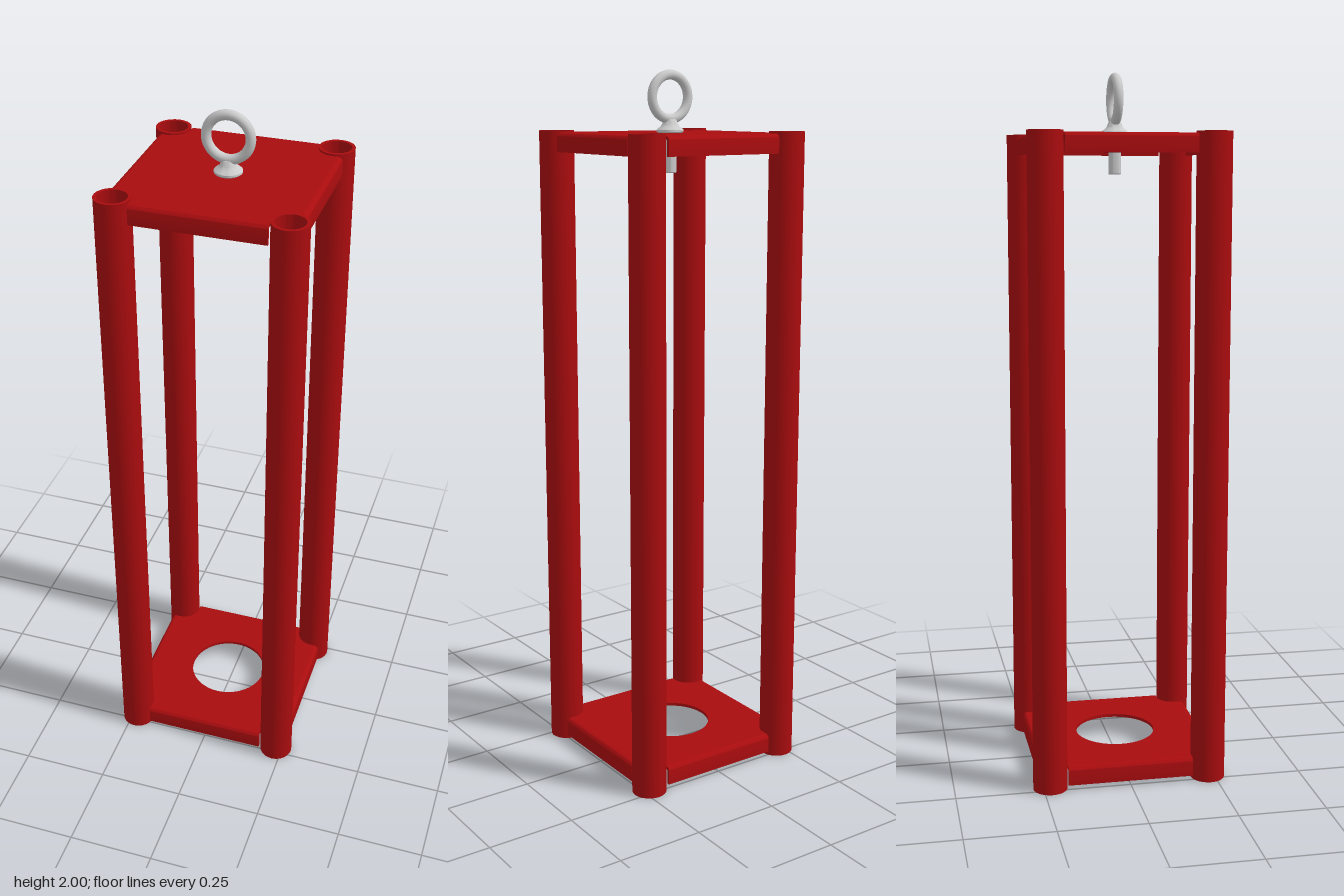
import * as THREE from 'three';
import { toCreasedNormals } from 'three/addons/utils/BufferGeometryUtils.js';

const RED = new THREE.MeshStandardMaterial({ color: 0xa90c0e });
const STEEL = new THREE.MeshStandardMaterial({ color: 0xcccccc });

const POST = 0.23;     // post centre offset
const POST_R = 0.049;  // post outer radius
const EDGE = 0.258;    // outer face of the plate flanges
const SPAN = 0.181;    // half length of a flange
const T = 0.009;       // sheet thickness
const BEND = 0.014;    // outer bend radius
const DROP = 0.053;    // tray height

function mesh(name, geometry, material) {
  const m = new THREE.Mesh(geometry, material);
  m.name = name;
  return m;
}

function lathe(points, segments) {
  const g = new THREE.LatheGeometry(points.map(([r, y]) => new THREE.Vector2(r, y)), segments);
  return toCreasedNormals(g, 0.5);
}

// Flat sheet with the corners scalloped around the posts; top face at y = 0
function sheetGeometry(holeRadius) {
  const e = EDGE - BEND;
  const s = new THREE.Shape();
  s.moveTo(e, -SPAN);
  const r = POST - SPAN;
  for (let k = 0; k < 4; k++) {
    const a = k * Math.PI / 2, c = Math.cos(a), n = Math.sin(a);
    const to = (x, y) => s.lineTo(x * c - y * n, x * n + y * c);
    to(e, -SPAN);
    to(e, SPAN);
    for (let i = 0; i <= 8; i++) {
      const t = -Math.PI / 2 - (i / 8) * Math.PI / 2;
      to(POST + r * Math.cos(t), POST + r * Math.sin(t));
    }
    to(SPAN, e);
  }
  if (holeRadius) {
    s.holes.push(new THREE.Path().absarc(0, 0, holeRadius, 0, Math.PI * 2, true));
  }
  const g = new THREE.ExtrudeGeometry(s, { depth: T, bevelEnabled: false, curveSegments: 24 });
  g.rotateX(-Math.PI / 2).translate(0, -T, 0);
  return toCreasedNormals(g, 0.5);
}

// Folded edge: rounded bend running into a downward lip
function flangeGeometry() {
  const cx = EDGE - BEND;
  const s = new THREE.Shape();
  s.moveTo(cx, -T);
  s.absarc(cx, -BEND, BEND - T, Math.PI / 2, 0, true);
  s.lineTo(EDGE - T, -DROP);
  s.lineTo(EDGE, -DROP);
  s.lineTo(EDGE, -BEND);
  s.absarc(cx, -BEND, BEND, 0, Math.PI / 2, false);
  s.closePath();
  const g = new THREE.ExtrudeGeometry(s, { depth: 2 * SPAN, bevelEnabled: false, curveSegments: 6 });
  g.translate(0, 0, -SPAN);
  return toCreasedNormals(g, 0.5);
}

function tray(name, topY, holeRadius) {
  const g = new THREE.Group();
  g.name = name;
  g.add(mesh('sheet', sheetGeometry(holeRadius), RED));
  const flange = flangeGeometry();
  for (let k = 0; k < 4; k++) {
    const f = mesh('flange', flange, RED);
    f.rotation.y = k * Math.PI / 2;
    g.add(f);
  }
  g.position.y = topY;
  return g;
}

function eyeBolt() {
  const g = new THREE.Group();
  g.name = 'eyeBolt';
  // Shank and flared collar as one turned profile
  g.add(mesh('shankAndCollar', lathe([
    [0, 1.72], [0.016, 1.72], [0.018, 1.723], [0.018, 1.83],
    [0.035, 1.83], [0.038, 1.833], [0.038, 1.838], [0.035, 1.841],
    [0.028, 1.846], [0.022, 1.853], [0.019, 1.862], [0.016, 1.867], [0, 1.87],
  ], 32), STEEL));
  const ring = mesh('liftingRing', new THREE.TorusGeometry(0.0595, 0.0135, 16, 48), STEEL);
  ring.position.y = 1.927;
  g.add(ring);
  return g;
}

export function createModel() {
  const model = new THREE.Group();
  model.name = 'liftingFrame';

  // Four open tubular posts
  const tube = lathe([
    [POST_R, 0], [POST_R, 1.835], [0.04, 1.835], [0.04, 0], [POST_R, 0],
  ], 24);
  for (const x of [-POST, POST]) {
    for (const z of [-POST, POST]) {
      const p = mesh('post', tube, RED);
      p.position.set(x, 0, z);
      model.add(p);
    }
  }

  model.add(tray('topPlate', 1.83, 0));
  model.add(tray('bottomPlate', 0.068, 0.117));
  model.add(eyeBolt());
  return model;
}
